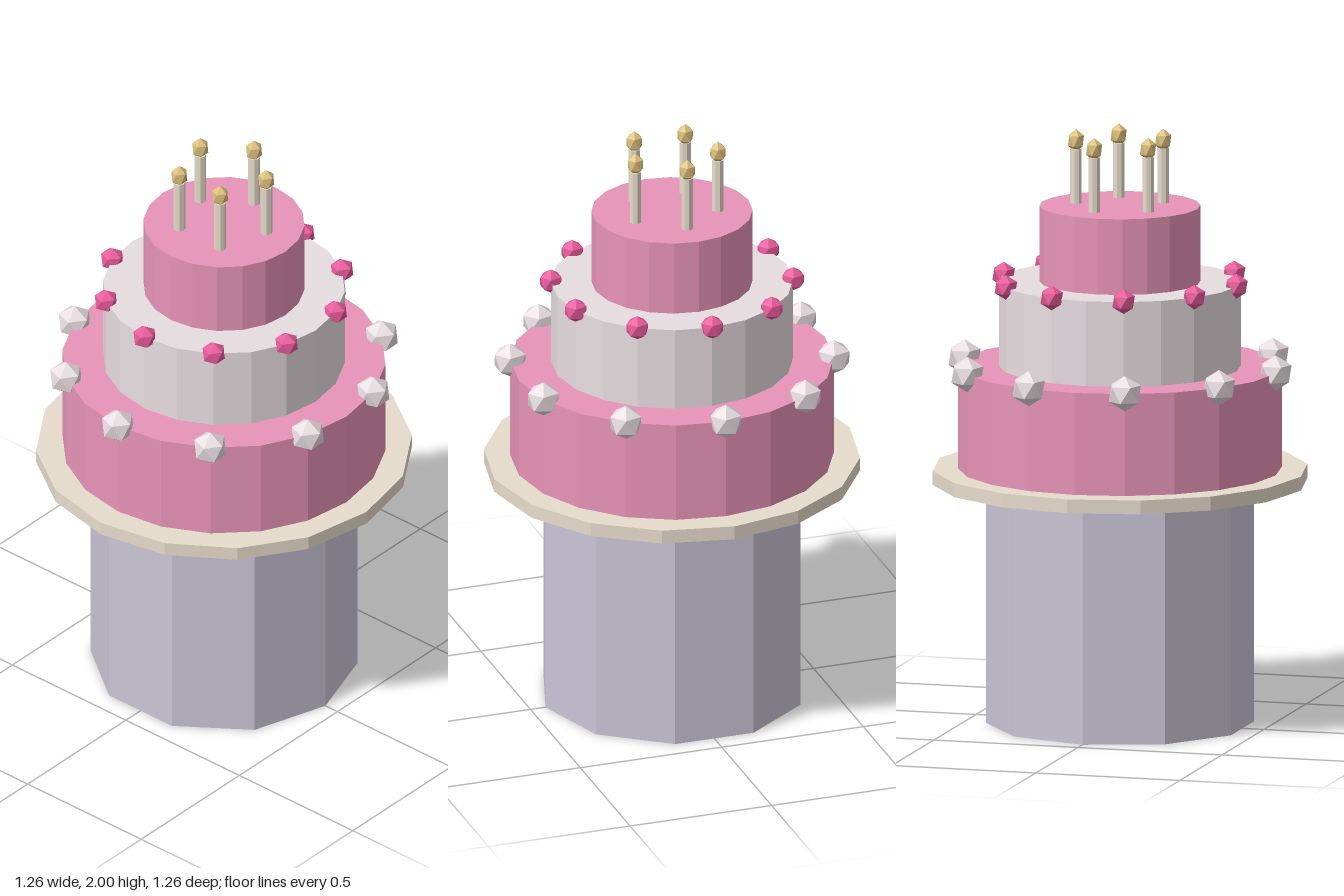
import * as THREE from 'three';

const material = (name, color) => {
  const m = new THREE.MeshStandardMaterial({ color });
  m.name = name;
  return m;
};

// Faceted geometry: every face keeps its own normal
function faceted(geometry) {
  const g = geometry.index ? geometry.toNonIndexed() : geometry;
  g.computeVertexNormals();
  return g;
}

// Twenty-faced ball standing on one of its points
const ball = (radius, stretch = 1) => faceted(
  new THREE.IcosahedronGeometry(radius, 0).rotateX(-1.0172).scale(1, stretch, 1));

export function createModel() {
  const model = new THREE.Group();
  model.name = 'tieredCake';

  const pink = material('pink icing', 0xf29bc0);
  const white = material('white icing', 0xf0e6ea);
  const cream = material('cream board', 0xf0e4d4);
  const lilac = material('lilac grey stand', 0xcac5d6);
  const rose = material('rose berry', 0xe85a9b);
  const candleWax = material('candle wax', 0xe6dccb);
  const gold = material('gold flame', 0xdcc07c);

  const add = (name, geometry, mat, x = 0, y = 0, z = 0, parent = model) => {
    const mesh = new THREE.Mesh(geometry, mat);
    mesh.name = name;
    mesh.position.set(x, y, z);
    parent.add(mesh);
    return mesh;
  };

  // Stand, board and three tiers: name, radius, bottom, top, sides, colour
  const drums = [
    ['stand', 0.447, 0, 0.815, 10, lilac],
    ['cakeBoard', 0.628, 0.815, 0.862, 16, cream],
    ['bottomTier', 0.54, 0.862, 1.207, 20, pink],
    ['middleTier', 0.404, 1.207, 1.494, 20, white],
    ['topTier', 0.269, 1.494, 1.75, 20, pink],
  ];
  for (const [name, r, bottom, top, sides, mat] of drums) {
    const g = faceted(new THREE.CylinderGeometry(r, r, top - bottom, sides));
    add(name, g, mat, 0, (bottom + top) / 2, 0);
  }

  // Calls place(x, z) evenly round a circle, starting at +x
  const ring = (count, radius, place) => {
    for (let i = 0; i < count; i++) {
      const a = (i / count) * Math.PI * 2;
      place(Math.cos(a) * radius, Math.sin(a) * radius);
    }
  };

  // Decorations round the tier edges
  const pearl = ball(0.06);
  ring(10, 0.54, (x, z) => add('pearl', pearl, white, x, 1.209, z));
  const berry = ball(0.042);
  ring(10, 0.404, (x, z) => add('berry', berry, rose, x, 1.496, z));

  // Candles with flames
  const stick = faceted(new THREE.CylinderGeometry(0.02, 0.02, 0.19, 8));
  const flame = ball(0.03, 1.3);
  ring(5, 0.153, (x, z) => {
    const candle = new THREE.Group();
    candle.name = 'candle';
    candle.position.set(x, 1.75, z);
    add('candleStick', stick, candleWax, 0, 0.09, 0, candle);
    add('flame', flame, gold, 0, 0.211, 0, candle);
    model.add(candle);
  });

  return model;
}
